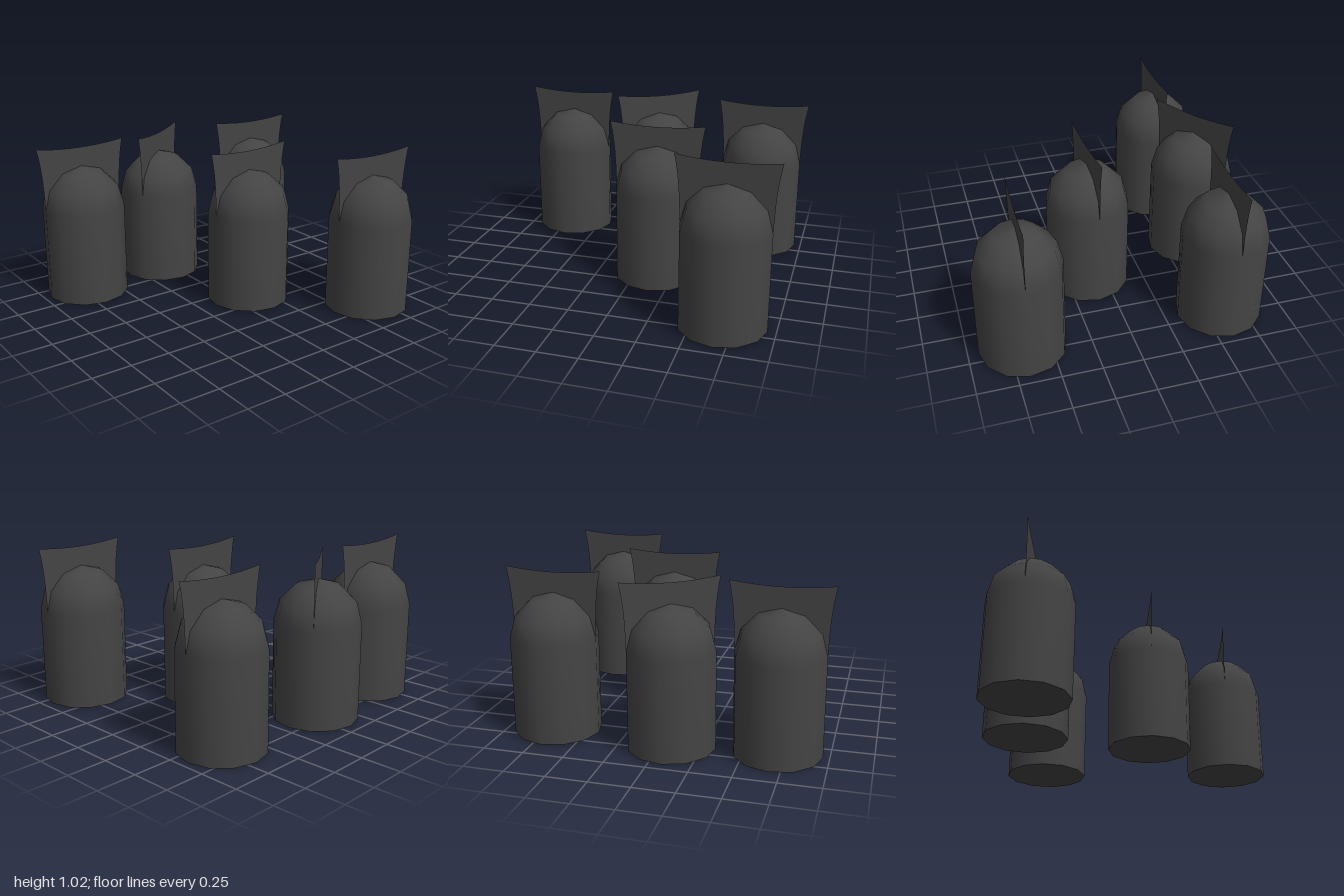
import * as THREE from 'three';

const RADIUS = 0.268, SHOULDER = 0.608, SIDES = 12;
const FIN_BASE = 0.62, FIN_TOP = 1.0;

// Cylinder wall running into a hemispherical shoulder
function bodyGeometry() {
  const profile = [new THREE.Vector2(RADIUS, 0)];
  for (let i = 0; i <= 3; i++) {
    const a = (i / 3) * Math.PI / 2;
    profile.push(new THREE.Vector2(Math.max(RADIUS * Math.cos(a), 0), SHOULDER + RADIUS * Math.sin(a)));
  }
  return new THREE.LatheGeometry(profile, SIDES);
}

// Thin sealed seam: flares towards its upper corners, top edge sags in the middle
function finGeometry() {
  const g = new THREE.PlaneGeometry(2, 1, 10, 8);
  const p = g.attributes.position;
  for (let i = 0; i < p.count; i++) {
    const u = p.getX(i), v = p.getY(i) + 0.5;
    const halfWidth = 0.268 + 0.01 * v + 0.027 * v ** 3;
    const top = FIN_TOP + 0.022 * u * u;
    p.setXYZ(i, u * halfWidth, FIN_BASE + (top - FIN_BASE) * v, 0);
  }
  g.computeVertexNormals();
  return g;
}

export function createModel() {
  const model = new THREE.Group();
  model.name = 'sealedBags';
  const material = new THREE.MeshStandardMaterial({ color: 0x444444, side: THREE.DoubleSide });

  const body = bodyGeometry();
  const fin = finGeometry();
  const base = new THREE.CircleGeometry(RADIUS, SIDES).rotateX(Math.PI / 2);

  // x, z and turn of each bag
  const placements = [
    [-0.693, -0.615, -0.02],
    [-0.065, -0.675, 0.577],
    [0.69, -0.6, -0.025],
    [0.132, 0.108, 0.04],
    [0.68, 0.667, -0.03],
  ];
  placements.forEach(([x, z, turn], i) => {
    const bag = new THREE.Group();
    bag.name = `bag${i + 1}`;
    for (const [name, geometry] of [['body', body], ['topSeam', fin], ['base', base]]) {
      const mesh = new THREE.Mesh(geometry, material);
      mesh.name = name;
      bag.add(mesh);
    }
    bag.position.set(x, 0, z);
    bag.rotation.y = turn;
    model.add(bag);
  });
  return model;
}
